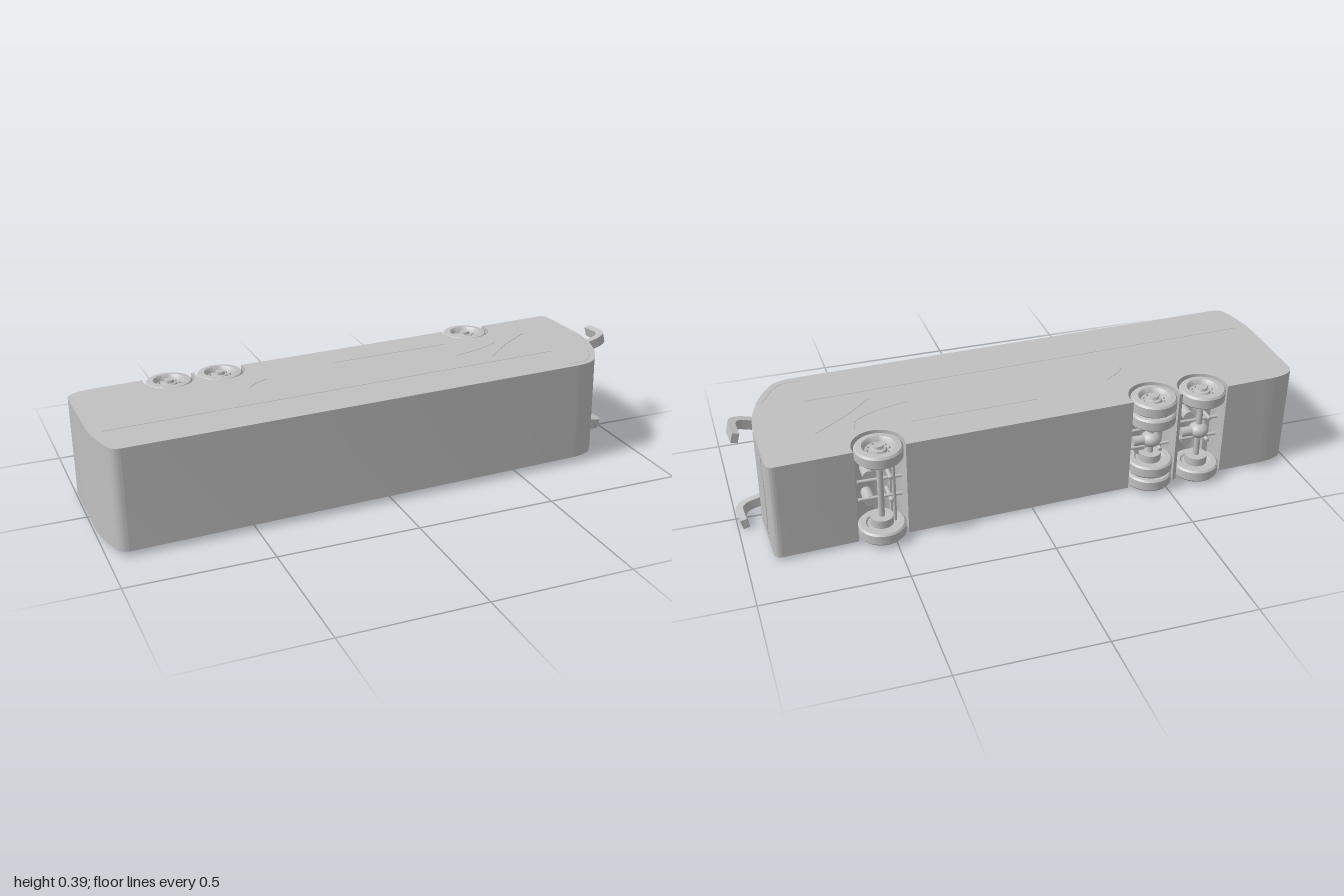
import * as THREE from 'three';
import { toCreasedNormals } from 'three/addons/utils/BufferGeometryUtils.js';

const MID = 0.1995, HALF = 0.1785; // middle and half width of the coach lying on its side

export function createModel() {
  const root = new THREE.Group();
  root.name = 'coachOnItsSide';
  const tilt = new THREE.Group();
  tilt.name = 'coach';
  tilt.rotation.set(-0.022, 0, 0.004);
  root.add(tilt);
  const grey = new THREE.MeshStandardMaterial({ color: 0xc0c0c0 });
  grey.name = 'plain grey';

  const add = (name, geometry, parent = tilt) => {
    const mesh = new THREE.Mesh(geometry, grey);
    mesh.name = name;
    parent.add(mesh);
    return mesh;
  };
  // Extrude an x-z outline along y, centred on y = 0
  const slab = (shape, height, crease = 0.5) => {
    const g = new THREE.ExtrudeGeometry(shape, { depth: height, bevelEnabled: false, curveSegments: 16 });
    g.rotateX(Math.PI / 2).translate(0, height / 2, 0);
    return toCreasedNormals(g, crease);
  };

  const axles = [
    { name: 'tag', x: -0.637, z: -0.211, dual: false },
    { name: 'drive', x: -0.45, z: -0.217, dual: true },
    { name: 'front', x: 0.537, z: -0.248, dual: false },
  ];

  // Body: side profile with the wheel arches cut through the full width
  const p = new THREE.Shape();
  p.moveTo(-0.87, -0.23);
  for (const a of axles) {
    const r = 0.09, edge = -0.256 - 0.0305 * a.x;
    const e = Math.asin((a.z - edge) / r);
    p.absarc(a.x, a.z, r, Math.PI + e, -e, true);
  }
  p.lineTo(0.88, -0.284);
  p.quadraticCurveTo(0.907, -0.285, 0.909, -0.255);
  p.lineTo(0.915, -0.05);
  p.bezierCurveTo(0.91, 0.06, 0.875, 0.16, 0.815, 0.23);
  p.quadraticCurveTo(0.79, 0.26, 0.72, 0.263);
  p.lineTo(-0.92, 0.315);
  p.quadraticCurveTo(-0.952, 0.316, -0.963, 0.29);
  p.quadraticCurveTo(-0.995, 0.19, -0.996, 0.12);
  p.lineTo(-0.997, -0.17);
  p.quadraticCurveTo(-0.997, -0.228, -0.87, -0.23);
  add('body', slab(p, HALF * 2)).position.y = MID;

  // Wheels: tyre, dished rim and hub in one turned profile
  const wheelGeo = toCreasedNormals(new THREE.LatheGeometry([
    [0, -0.016], [0.05, -0.016], [0.055, -0.022], [0.076, -0.022], [0.082, -0.016], [0.082, 0.016],
    [0.076, 0.023], [0.056, 0.025], [0.052, 0.021], [0.046, 0.008], [0.03, 0.005],
    [0.026, 0.014], [0.018, 0.016], [0.016, 0.026], [0, 0.027],
  ].map(([r, y]) => new THREE.Vector2(r, y)), 36), 0.6);
  const boltGeo = new THREE.CylinderGeometry(0.003, 0.003, 0.008, 6);

  const rod = (name, parent, r, len, x, y, z) => {
    const m = add(name, new THREE.CylinderGeometry(r, r, len, 16), parent);
    m.position.set(x, y, z);
    return m;
  };

  for (const a of axles) {
    const g = new THREE.Group();
    g.name = a.name + 'Axle';
    g.position.set(a.x, MID, a.z);
    tilt.add(g);
    rod('axleBeam', g, 0.011, 0.3, 0, 0, 0);
    for (const s of [1, -1]) {
      const w = new THREE.Group();
      w.name = a.name + 'Wheel';
      w.position.y = s * 0.152;
      if (s < 0) w.rotation.x = Math.PI;
      g.add(w);
      add('tyreAndRim', wheelGeo, w);
      for (let i = 0; i < 10; i++) {
        const t = i * Math.PI / 5;
        add('wheelBolt', boltGeo, w).position.set(Math.cos(t) * 0.037, 0.009, Math.sin(t) * 0.037);
      }
      if (a.dual) add('innerTyre', wheelGeo, w).position.y = -0.055;
      // Brake drum, air spring, damper and link
      rod('brakeDrum', g, 0.04, 0.03, 0, s * (a.dual ? 0.068 : 0.118), 0);
      const spring = rod('airSpring', g, 0.02, 0.06, 0.035, s * 0.05, 0.045);
      spring.rotation.x = Math.PI / 2;
      const damper = rod('damper', g, 0.007, 0.085, -0.035, s * 0.045, 0.03);
      damper.rotation.x = Math.PI / 2;
      const link = rod('radiusRod', g, 0.006, 0.15, 0, s * 0.036, 0.012);
      link.rotation.z = Math.PI / 2;
    }
    if (a.name === 'front') {
      rod('steeringRod', g, 0.006, 0.26, -0.045, 0, -0.003);
    } else {
      // Differential housing and cross members
      const diff = add('differential', new THREE.SphereGeometry(0.036, 20, 14), g);
      diff.scale.set(1, 0.8, 1);
      rod('driveFlange', g, 0.018, 0.07, 0.035, 0, 0).rotation.z = Math.PI / 2;
    }
    add('crossMember', new THREE.BoxGeometry(0.02, 0.34, 0.02), g).position.set(-0.05, 0, 0.045);
  }

  // Mirrors: hooked arms that splay outward from the front corners
  const hook = new THREE.Shape();
  hook.moveTo(-0.03, 0.05);
  hook.lineTo(0.03, 0.05);
  hook.quadraticCurveTo(0.087, 0.046, 0.086, -0.005);
  hook.lineTo(0.08, -0.069);
  hook.lineTo(0.056, -0.069);
  hook.lineTo(0.06, -0.005);
  hook.quadraticCurveTo(0.06, 0.022, 0.03, 0.025);
  hook.lineTo(-0.03, 0.025);
  const hookGeo = slab(hook, 0.036);
  for (const s of [1, -1]) {
    const m = add('mirror', hookGeo);
    m.position.set(0.91, MID + s * 0.157, 0);
    m.rotation.z = s * 0.25;
  }

  // Fine panel seams
  const seam = (name, pts) => {
    const curve = new THREE.CatmullRomCurve3(pts.map(q => new THREE.Vector3(...q)));
    add(name, new THREE.TubeGeometry(curve, 24, 0.0015, 5));
  };
  const sideLines = [
    [[-0.95, 0.158], [0.72, 0.092]],
    [[-0.05, -0.125], [0.4, -0.14]],
    [[0.59, -0.13], [0.58, -0.09], [0.51, -0.045], [0.38, -0.01]],
    [[0.72, -0.125], [0.6, -0.04], [0.5, 0.05]],
    [[-0.41, 0.01], [-0.4, -0.02], [-0.33, -0.07]],
    [[0.71, 0.235], [0.79, 0.222], [0.86, 0.12]],
  ];
  for (const s of [1, -1]) {
    for (const line of sideLines) seam('sideSeam', line.map(([x, z]) => [x, MID + s * HALF, z]));
  }
  seam('windscreenSeam', [[-0.205, 0.36], [-0.183, 0.345], [-0.19, 0.28], [-0.195, 0.2], [-0.19, 0.12], [-0.17, 0.04]]
    .map(([z, y]) => [0.9115, y + 0.004, z]));
  return root;
}
